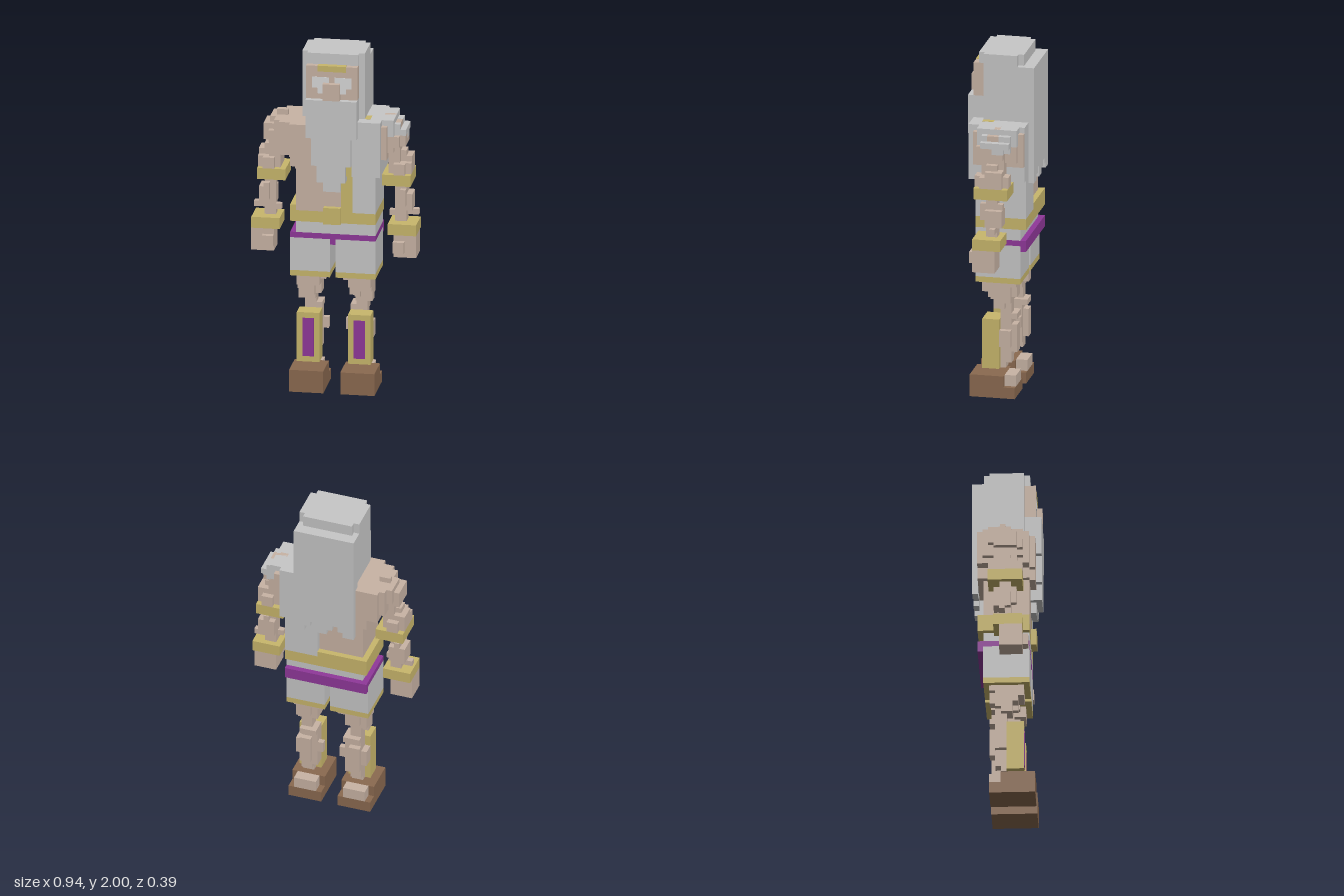
import * as THREE from 'three';

const U = 2 / 62; // size of one block

const material = (name, color) => {
  const m = new THREE.MeshStandardMaterial({ color });
  m.name = name;
  return m;
};

export function createModel() {
  const skin = material('skin', 0xc9b4a5);
  const grey = material('grey cloth and hair', 0xc7c7c7);
  const pale = material('pale brow', 0xd9d9d9);
  const gold = material('gold', 0xc9b76c);
  const purple = material('purple', 0x90389a);
  const brown = material('brown leather', 0x8b6a50);

  const model = new THREE.Group();
  model.name = 'warrior';

  const group = (name) => {
    const g = new THREE.Group();
    g.name = name;
    model.add(g);
    return g;
  };

  // box from block limits [x0, x1, y0, y1, z0, z1]; side -1 mirrors it in x
  const box = (parent, name, mat, [x0, x1, y0, y1, z0, z1], side = 1) => {
    const geo = new THREE.BoxGeometry((x1 - x0) * U, (y1 - y0) * U, (z1 - z0) * U);
    const mesh = new THREE.Mesh(geo, mat);
    mesh.name = name;
    mesh.position.set(side * (x0 + x1) / 2 * U, (y0 + y1) / 2 * U, (z0 + z1) / 2 * U);
    parent.add(mesh);
  };
  const boxes = (parent, name, mat, list, side = 1) =>
    list.forEach((b) => box(parent, name, mat, b, side));

  // head
  const head = group('head');
  box(head, 'face', skin, [-4.5, 4.5, 54, 60, 2, 5]);
  box(head, 'nose', skin, [-1.5, 1.5, 54, 57, 5, 6]);
  box(head, 'headband', gold, [-2.5, 2.5, 59, 60.05, 4, 5.05]);
  for (const s of [1, -1]) {
    boxes(head, 'brow', pale, [
      [0.5, 3.5, 57, 58, 4.9, 5.05],
      [1.5, 3.5, 56, 57, 4.9, 5.05],
      [1.5, 2.5, 55, 56, 4.9, 5.05],
    ], s);
  }
  boxes(head, 'hair', grey, [
    [-5.5, 5.5, 60, 62, -3, 3],
    [-4.5, 4.5, 60, 62, -4, 4],
    [-5.5, 5.5, 50, 60, -6, 3],
    [-5.5, 5.5, 41, 50, -6, -4],
  ]);
  // ragged hair ends
  [[-5.5, -3.5, 39], [-3.5, -2.5, 40], [-1.5, -0.5, 40], [-0.5, 1.5, 39], [2.5, 3.5, 40], [3.5, 5.5, 39]]
    .forEach(([a, b, y]) => box(head, 'hairEnd', grey, [a, b, y, 41, -6, -5]));
  boxes(head, 'beard', grey, [
    [-4.5, 4.5, 47, 54, 2, 6],
    [-3.5, 3.5, 42, 47, 2, 6],
    [-2.5, 2.5, 39, 42, 2, 6],
    [-1.5, 1.5, 37, 39, 2, 5],
  ]);

  // torso: bare right half, cloth on the left half
  const torso = group('torso');
  boxes(torso, 'bareChest', skin, [
    [-7.5, 1.5, 41, 49, -5, 4],
    [-9.5, -7.5, 43, 49, -5, 4],
    [-7.5, 1.5, 43, 49, 4, 5],
    [-6.5, 1.5, 41, 43, 4, 5],
    [-6.5, 1.5, 33, 41, -4, 4],
  ]);
  boxes(torso, 'tunic', grey, [
    [3.5, 8.5, 40, 50, -5, 5],
    [1.5, 3.5, 40, 50, -5, 3],
    [3.5, 7.5, 33, 40, -5, 4],
    [1.5, 3.5, 33, 40, -5, 3],
  ]);
  boxes(torso, 'sash', gold, [
    [1.5, 3.5, 33, 40, 3, 4],
    [1.5, 3.5, 40, 49, 3, 5],
    [5.5, 6.5, 49, 50.05, 1, 3],
  ]);
  boxes(torso, 'belt', gold, [
    [-7.5, 7.5, 31, 33, -5, 4],
    [-7.5, -6.5, 33, 34, -5, 4],
    [-6.5, 1.5, 33, 34, -5, -4],
  ]);
  box(torso, 'buckle', gold, [-1.5, 1.5, 31, 34, 4, 5]);
  box(torso, 'waist', grey, [-6.5, 7.5, 29, 31, -4, 4]);
  boxes(torso, 'waistband', purple, [
    [-7.5, 7.5, 28, 29, -5, 4],
    [-7.5, 7.5, 27, 28, -5, -4],
    [-0.5, 0.5, 27, 28, -4, 4],
  ]);

  for (const s of [1, -1]) {
    const side = s > 0 ? 'left' : 'right';

    // leg
    const leg = group(side + 'Leg');
    box(leg, 'shorts', grey, [0.5, 7.5, 22, 28, -4, 4], s);
    box(leg, 'hem', gold, [0.5, 7.5, 21, 22, -4, 4], s);
    boxes(leg, 'thigh', skin, [
      [2.5, 6.5, 19, 21, -2, 3],
      [1.5, 6.5, 20, 21, -3, 2],
      [3.5, 5.5, 18, 20, -3, 2],
      [2.5, 6.5, 17, 19, -2, 1],
      [3.5, 4.5, 17, 18, 1, 2],
      [5.5, 6.5, 18, 20, -1, 2],
      [3.5, 5.5, 14, 18, -2, 0],
    ], s);
    boxes(leg, 'knee', skin, [
      [3.5, 6.5, 16, 17, -1, 1],
      [2.5, 5.5, 14, 15, -3, 0],
    ], s);
    boxes(leg, 'calf', skin, [
      [2.5, 5.5, 7, 14, -2, 0],
      [3.5, 5.5, 8, 13, -3, -2],
      [5.5, 6.5, 9, 12, -2, 0],
      [1.5, 2.5, 10, 12, -2, -1],
      [3.5, 5.5, 6, 7, -2, 0],
      [3.5, 5.5, 5, 6, -1, 0],
    ], s);
    box(leg, 'shinGuard', gold, [2.5, 6.5, 5, 14, 0, 3], s);
    box(leg, 'shinPanel', purple, [3.5, 5.5, 6, 13, 2.9, 3.05], s);
    boxes(leg, 'boot', brown, [[1.5, 7.5, 0, 4, -1, 5], [1.5, 7.5, 0, 2, -3, -1]], s);
    box(leg, 'heel', skin, [2.5, 6.5, 2, 4, -3, -1], s);

    // arm
    const arm = group(side + 'Arm');
    boxes(arm, 'shoulder', skin, [
      [8.5, 9.5, 43, 49, -5, 4],
      [9.5, 10.5, 44, 49, -4, 3],
      [8.5, 10.5, 49, 50, -1, 0],
      [10.5, 12.5, 45, 48, -2, 2],
      [10.5, 11.5, 46, 49, -3, 1],
      [10.5, 11.5, 45, 47, 2, 3],
    ], s);
    boxes(arm, 'upperArm', skin, [
      [9.5, 11.5, 40, 45, -2, 2],
      [10.5, 12.5, 42, 44, -1, 1],
      [9.5, 13.5, 40, 42, -2, 2],
      [11.5, 13.5, 42, 43, -2, 1],
      [10.5, 12.5, 40, 42, -3, 3],
    ], s);
    box(arm, 'armBand', gold, [8.5, 13.5, 38, 40, -3, 3], s);
    boxes(arm, 'forearm', skin, [
      [10.5, 12.5, 31, 38, -1, 1],
      [10.5, 13.5, 33, 36, -2, 1],
      [11.5, 12.5, 34, 37, -2, 2],
      [9.5, 10.5, 32, 33, 0, 1],
      [12.5, 14.5, 32, 33, -1, 0],
    ], s);
    box(arm, 'wristBand', gold, [9.5, 14.5, 29, 31, -2, 3], s);
    box(arm, 'hand', skin, [10.5, 14.5, 25, 29, -1, 3], s);
    box(arm, 'thumb', skin, [10.5, 12.5, 26, 28, 3, 4], s);
  }

  // shoulder cloth on the left only
  const pad = group('shoulderCloth');
  boxes(pad, 'shoulderCloth', grey, [
    [8.5, 10.55, 47, 50, -4.05, 3.05],
    [10.5, 12.55, 47, 48.05, -3.05, 2.05],
    [10.5, 11.55, 46, 49.05, -3.05, -1],
    [11.5, 12.55, 46, 47, -2.05, 0],
    [10.5, 11.55, 46, 49.05, 1, 2.05],
  ]);
  return model;
}
